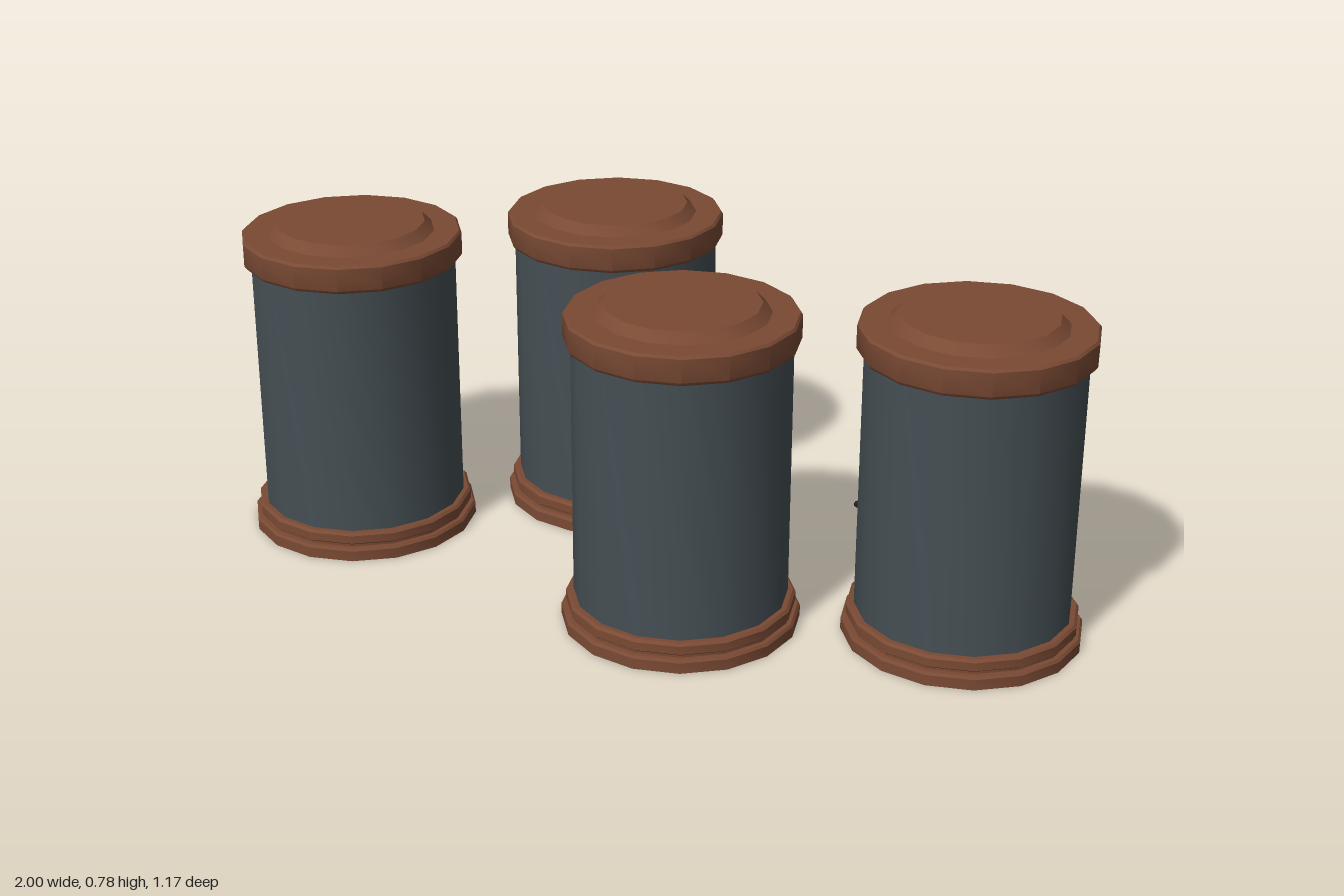
import * as THREE from 'three';
import { toCreasedNormals } from 'three/addons/utils/BufferGeometryUtils.js';

const SIDES = 16;

// Turned part from [radius, height] points listed bottom to top
function turned(profile) {
  const points = profile.map(([r, y]) => new THREE.Vector2(r, y));
  return toCreasedNormals(new THREE.LatheGeometry(points, SIDES), 0.65);
}

export function createModel() {
  const model = new THREE.Group();
  model.name = 'canisters';

  const copper = new THREE.MeshStandardMaterial({ color: 0x7a4a34 });
  copper.name = 'copper brown';
  const slate = new THREE.MeshStandardMaterial({ color: 0x454f54 });
  slate.name = 'slate grey';
  const dark = new THREE.MeshStandardMaterial({ color: 0x2a1a16 });
  dark.name = 'dark rivet';

  // Stepped foot with a closed underside
  const base = turned([
    [0, 0], [0.278, 0], [0.278, 0.026], [0.273, 0.032], [0.262, 0.032],
    [0.262, 0.038], [0.267, 0.042], [0.267, 0.062], [0.261, 0.068], [0.245, 0.068],
  ]);
  const drum = turned([[0.249, 0.06], [0.249, 0.7]]);
  // Overhanging lid with a raised, bevelled disc
  const lid = turned([
    [0.24, 0.69], [0.26, 0.69], [0.266, 0.698], [0.266, 0.752], [0.261, 0.758],
    [0.2, 0.758], [0.178, 0.781], [0, 0.781],
  ]);

  const parts = [['base', base, copper], ['drum', drum, slate], ['lid', lid, copper]];
  const places = [[-0.72, 0.305], [-0.38, -0.25], [0.22, 0.11], [0.72, -0.305]];

  places.forEach(([x, z], i) => {
    const canister = new THREE.Group();
    canister.name = 'canister' + (i + 1);
    for (const [name, geometry, material] of parts) {
      const mesh = new THREE.Mesh(geometry, material);
      mesh.name = name;
      canister.add(mesh);
    }
    canister.position.set(x, 0, z);
    model.add(canister);
  });

  // Tiny rivet on the last drum
  const rivet = new THREE.Mesh(new THREE.SphereGeometry(0.008, 8, 6), dark);
  rivet.name = 'rivet';
  rivet.position.set(-0.2, 0.3, 0.149);
  model.children[3].add(rivet);

  return model;
}
